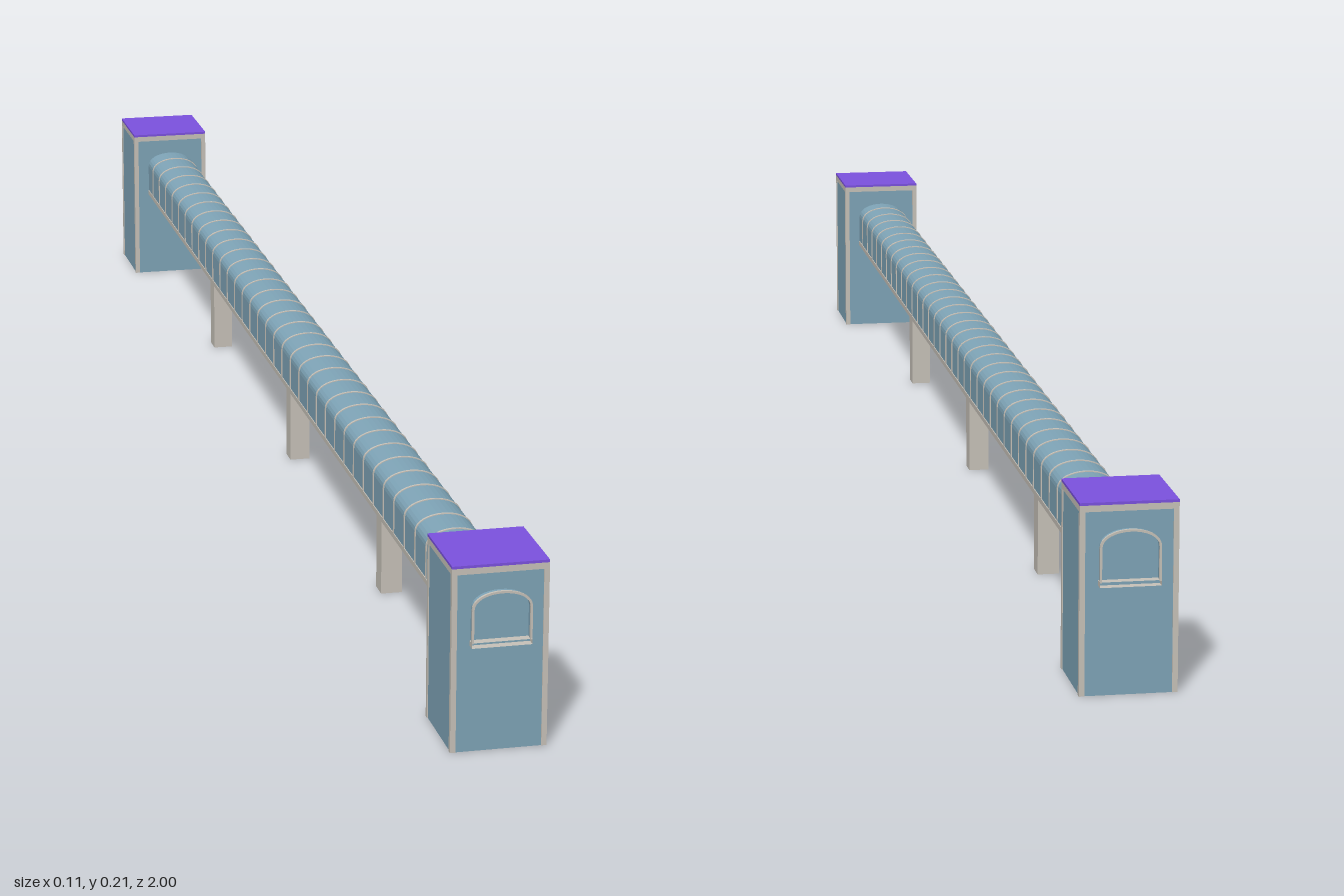
import * as THREE from 'three';

const glass = new THREE.MeshStandardMaterial({ name: 'blue glass', color: 0x7fa5b8, side: THREE.DoubleSide });
const stone = new THREE.MeshStandardMaterial({ name: 'warm grey frame', color: 0xc8c3ba, side: THREE.DoubleSide });
const roofPaint = new THREE.MeshStandardMaterial({ name: 'purple roof', color: 0x7c52e0 });

const HALF = 0.032, BASE = 0.125, SPRING = 0.162, RISE = 0.019;
// Box faces come in this order, six indices each
const FACES = ['+x', '-x', '+y', '-y', '+z', '-z'];

// Box with some faces left open
function box(parent, name, size, pos, material, open = []) {
  const geometry = new THREE.BoxGeometry(...size);
  const index = Array.from(geometry.index.array);
  geometry.setIndex(index.filter((_, i) => !open.includes(FACES[Math.floor(i / 6)])));
  geometry.clearGroups();
  const mesh = new THREE.Mesh(geometry, material);
  mesh.name = name;
  mesh.position.set(...pos);
  parent.add(mesh);
}

// Points of the tube section: straight walls under a flattened round top
function archPoints(offset) {
  const pts = [new THREE.Vector2(HALF + offset, BASE)];
  for (let i = 0; i <= 16; i++) {
    const a = Math.PI * i / 16;
    pts.push(new THREE.Vector2((HALF + offset) * Math.cos(a), SPRING + (RISE + offset) * Math.pow(Math.sin(a), 0.9)));
  }
  pts.push(new THREE.Vector2(-HALF - offset, BASE));
  return pts;
}

// Hollow arch running along z, centred on z = 0
function archGeometry(outer, inner, length) {
  const shape = new THREE.Shape([...archPoints(outer), ...archPoints(inner).reverse()]);
  const geometry = new THREE.ExtrudeGeometry(shape, { depth: length, bevelEnabled: false });
  return geometry.translate(0, 0, -length / 2);
}

function createTower(name) {
  const tower = new THREE.Group();
  tower.name = name;
  box(tower, 'towerGlass', [0.104, 0.2, 0.104], [0, 0.1, 0], glass, ['+y', '-y']);
  // Corner posts
  for (const x of [-1, 1]) for (const z of [-1, 1]) {
    box(tower, 'cornerPost', [0.006, 0.2, 0.006], [x * 0.05, 0.1, z * 0.05], stone);
  }
  // Cornice and thin coloured roof plate
  box(tower, 'cornice', [0.106, 0.007, 0.106], [0, 0.2035, 0], stone);
  box(tower, 'roof', [0.106, 0.003, 0.106], [0, 0.2085, 0], roofPaint);
  return tower;
}

export function createModel() {
  const model = new THREE.Group();
  model.name = 'coveredFootbridge';

  // Glazed tube
  const tube = new THREE.Mesh(archGeometry(0, -0.001, 1.996), glass);
  tube.name = 'glassTube';
  model.add(tube);

  // Thin arched ribs
  const ribGeometry = archGeometry(0.001, -0.0015, 0.003);
  for (let i = -20; i <= 20; i++) {
    const rib = new THREE.Mesh(ribGeometry, stone);
    rib.name = 'rib';
    rib.position.z = i * 0.0499;
    model.add(rib);
  }

  // Deck, open at both ends
  box(model, 'deck', [0.066, 0.006, 2], [0, 0.123, 0], stone, ['+z', '-z']);

  // Supporting piers
  for (const z of [-0.504, -0.004, 0.496]) {
    box(model, 'pier', [0.025, 0.12, 0.025], [0, 0.06, z], stone, ['+y', '-y']);
  }

  // End towers
  for (const [name, z] of [['frontTower', 0.938], ['backTower', -0.938]]) {
    const tower = createTower(name);
    tower.position.z = z;
    model.add(tower);
  }
  return model;
}
